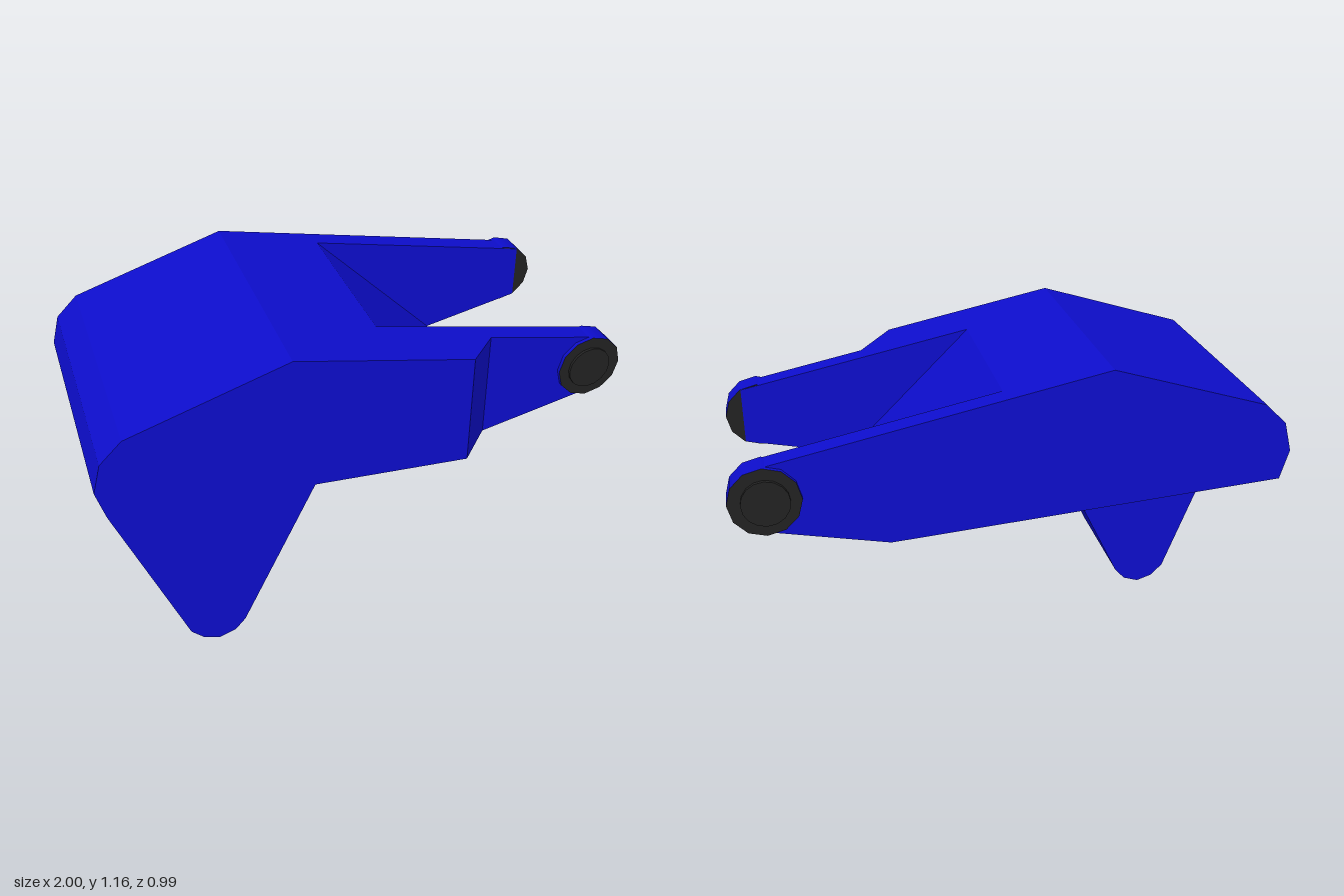
import * as THREE from 'three';

const blue = new THREE.MeshStandardMaterial({ color: 0x0d0dcd });
blue.name = 'blue paint';
const dark = new THREE.MeshStandardMaterial({ color: 0x222222 });
dark.name = 'dark pivot';

// Sloping lines of the side profile
const topY = (x) => 1.165 - (x + 0.32) * 0.2048;
const bottomY = (x) => 0.59 + (0.46 - x) * 0.0635;

const rear = [[-0.97, 0.69], [-1, 0.8], [-0.97, 0.91], [-0.89, 0.988], [-0.32, 1.165]];
const leg = [[-0.25, bottomY(-0.25)], [-0.53, 0.065], [-0.57, 0.02], [-0.63, 0], [-0.69, 0.02], [-0.735, 0.065]];
const armEnd = [[0.935, topY(0.935)], [0.935, 0.692], [0.46, 0.59]];
const rampEnd = [[0.05, topY(0.05)], [0.54, 0.607], [0.46, 0.59]];
const cutEnd = [[0.46, topY(0.46)], [0.46, 0.59]];

// One layer of the body: side profile extruded from z0 to z1
function layer(name, front, hasLeg, z0, z1) {
  const points = [...rear, ...front, ...(hasLeg ? leg : [])];
  const shape = new THREE.Shape(points.map(([x, y]) => new THREE.Vector2(x, y)));
  const geometry = new THREE.ExtrudeGeometry(shape, { depth: z1 - z0, bevelEnabled: false });
  geometry.translate(0, 0, z0);
  const mesh = new THREE.Mesh(geometry, blue);
  mesh.name = name;
  return mesh;
}

// Round part lying along z
function disc(name, radius, sides, x, y, z0, z1, material) {
  const geometry = new THREE.CylinderGeometry(radius, radius, z1 - z0, sides);
  geometry.rotateX(Math.PI / 2).rotateY(0);
  geometry.translate(x, y, (z0 + z1) / 2);
  const mesh = new THREE.Mesh(geometry, material);
  mesh.name = name;
  return mesh;
}

export function createModel() {
  const model = new THREE.Group();
  model.name = 'forkedBracket';

  // Body in layers, from the back to the front
  model.add(
    layer('backArm', armEnd, false, -0.465, -0.385),
    layer('rampBlock', rampEnd, false, -0.385, 0.025),
    layer('rampBlockWithLeg', rampEnd, true, 0.025, 0.265),
    layer('frontArm', armEnd, true, 0.265, 0.345)
  );

  // Front cheek, its outer edge drawn back along the profile to form a bevel
  const cheek = layer('frontCheek', cutEnd, true, 0.345, 0.49);
  const p = cheek.geometry.attributes.position;
  for (let i = 0; i < p.count; i++) {
    if (p.getX(i) > 0.45 && p.getZ(i) > 0.48) {
      p.setXY(i, 0.33, p.getY(i) > 0.8 ? topY(0.33) : bottomY(0.33));
    }
  }
  cheek.geometry.computeVertexNormals();
  model.add(cheek);

  // Pivots at the arm tips: blue rims, dark faces and outer caps
  const hub = [blue, dark, dark];
  model.add(
    disc('frontPivot', 0.125, 12, 0.875, 0.8, 0.268, 0.36, hub),
    disc('frontPivotCap', 0.083, 16, 0.872, 0.8, 0.355, 0.37, dark),
    disc('backPivot', 0.125, 12, 0.875, 0.8, -0.482, -0.388, hub),
    disc('backPivotCap', 0.083, 16, 0.872, 0.8, -0.495, -0.477, dark)
  );

  return model;
}
